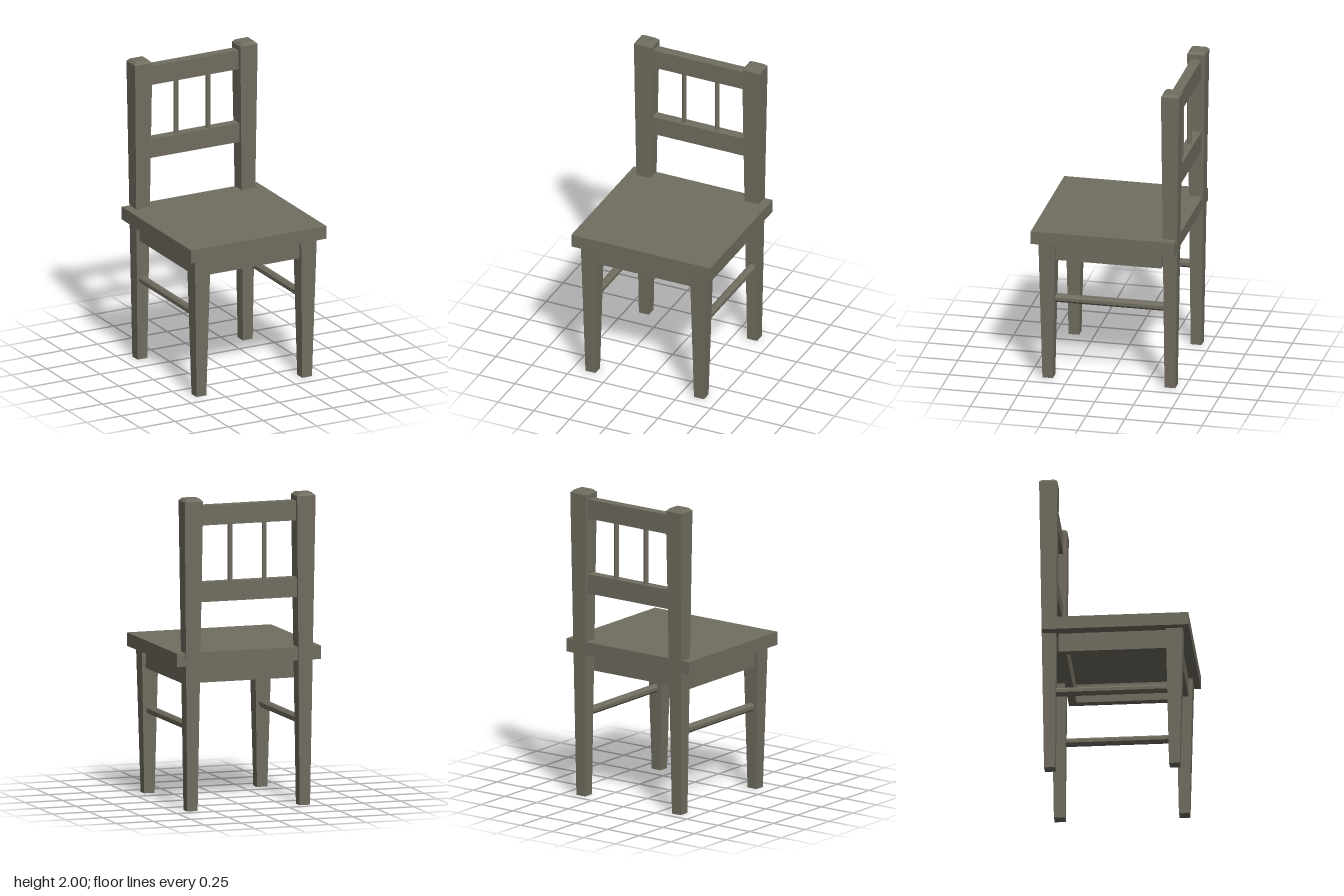
import * as THREE from 'three';

export function createModel() {
  const chair = new THREE.Group();
  chair.name = 'chair';
  const wood = new THREE.MeshStandardMaterial({ color: 0x716d60, flatShading: true });

  function add(name, geometry, x = 0, y = 0, z = 0) {
    const mesh = new THREE.Mesh(geometry, wood);
    mesh.name = name;
    mesh.position.set(x, y, z);
    chair.add(mesh);
    return mesh;
  }

  // Box given by its lower and upper limits on each axis
  function block(name, [x0, x1], [y0, y1], [z0, z1]) {
    return add(name, new THREE.BoxGeometry(x1 - x0, y1 - y0, z1 - z0),
      (x0 + x1) / 2, (y0 + y1) / 2, (z0 + z1) / 2);
  }

  // Post whose rectangular section changes between two ends {y, x, z, w, d}
  function taperedPost(name, bottom, top) {
    const geometry = new THREE.BoxGeometry(1, 1, 1);
    const p = geometry.attributes.position;
    for (let i = 0; i < p.count; i++) {
      const end = p.getY(i) > 0 ? top : bottom;
      p.setXYZ(i, end.x + p.getX(i) * end.w, end.y, end.z + p.getZ(i) * end.d);
    }
    geometry.computeVertexNormals();
    return add(name, geometry);
  }

  // Seat board
  block('seat', [-0.485, 0.485], [0.93, 1.015], [-0.455, 0.475]);

  // Apron frame under the seat
  const apronY = [0.805, 0.93], t = 0.05;
  block('frontApron', [-0.41, 0.41], apronY, [0.41 - t, 0.41]);
  block('backApron', [-0.41, 0.41], apronY, [-0.355, -0.355 + t]);

  for (const [side, s] of [['left', 1], ['right', -1]]) {
    const inner = s * (0.41 - t), outer = s * 0.41;
    block(side + 'Apron', [Math.min(inner, outer), Math.max(inner, outer)], apronY, [-0.355 + t, 0.41 - t]);

    // Front leg, tapering towards the floor
    taperedPost(side + 'FrontLeg',
      { y: 0, x: s * 0.379, z: 0.381, w: 0.07, d: 0.068 },
      { y: 0.93, x: s * 0.381, z: 0.382, w: 0.112, d: 0.108 });

    // Back leg running up into the backrest, with a chamfered cap
    const shoulder = { y: 1.982, x: s * 0.378, z: -0.417, w: 0.124, d: 0.116 };
    taperedPost(side + 'BackLeg', { y: 0, x: s * 0.378, z: -0.411, w: 0.07, d: 0.07 }, shoulder);
    taperedPost(side + 'LegCap', shoulder, { ...shoulder, y: 2, w: 0.088, d: 0.082 });

    // Octagonal stretcher between front and back leg
    const rod = new THREE.CylinderGeometry(0.027, 0.027, 0.73, 8);
    rod.rotateY(Math.PI / 8);
    rod.rotateX(Math.PI / 2);
    add(side + 'Stretcher', rod, s * 0.379, 0.536, -0.018);

    // Backrest spindle
    add(side + 'Spindle', new THREE.CylinderGeometry(0.016, 0.016, 0.39, 8), s * 0.115, 1.6425, -0.418);
  }

  // Backrest rails
  block('topRail', [-0.335, 0.335], [1.825, 1.95], [-0.45, -0.385]);
  block('lowerRail', [-0.335, 0.335], [1.335, 1.46], [-0.45, -0.385]);

  return chair;
}
